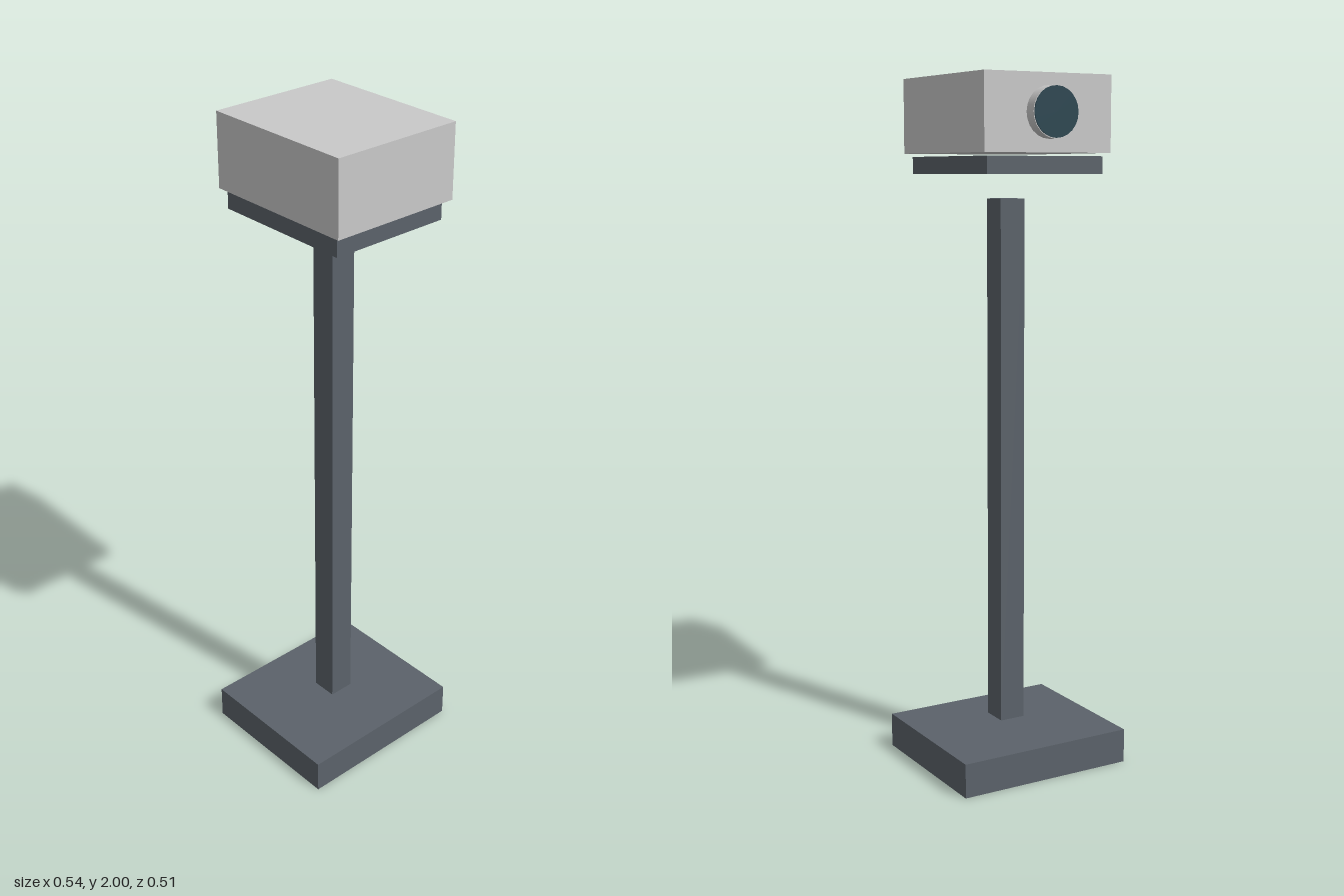
import * as THREE from 'three';

export function createModel() {
  const model = new THREE.Group();
  const slate = new THREE.MeshStandardMaterial({ name: 'slate grey', color: 0x5b626a });
  const pale = new THREE.MeshStandardMaterial({ name: 'pale grey', color: 0xc9c9c9 });
  const glass = new THREE.MeshStandardMaterial({ name: 'dark teal glass', color: 0x2a4550 });

  // Box centred on x, given by its width and its y and z ranges
  function box(name, material, width, [y0, y1], [z0, z1]) {
    const mesh = new THREE.Mesh(new THREE.BoxGeometry(width, y1 - y0, z1 - z0), material);
    mesh.name = name;
    mesh.position.set(0, (y0 + y1) / 2, (z0 + z1) / 2);
    model.add(mesh);
  }

  // Stand: the pole floats between the base and the mounting plate
  box('base', slate, 0.538, [0, 0.1], [-0.222, 0.246]);
  box('pole', slate, 0.078, [0.122, 1.662], [-0.024, 0.054]);
  box('mountingPlate', slate, 0.37, [1.73, 1.779], [-0.202, 0.232]);

  // Housing
  box('housing', pale, 0.402, [1.788, 2], [-0.217, 0.254]);

  // Round lens on the back of the housing
  function disc(name, material, radius, z0, z1) {
    const geometry = new THREE.CylinderGeometry(radius, radius, z1 - z0, 24);
    geometry.rotateX(-Math.PI / 2);
    const mesh = new THREE.Mesh(geometry, material);
    mesh.name = name;
    mesh.position.set(0, 1.895, (z0 + z1) / 2);
    model.add(mesh);
  }
  disc('lensBarrel', pale, 0.071, -0.253, -0.21);
  disc('lensGlass', glass, 0.069, -0.256, -0.252);

  return model;
}
